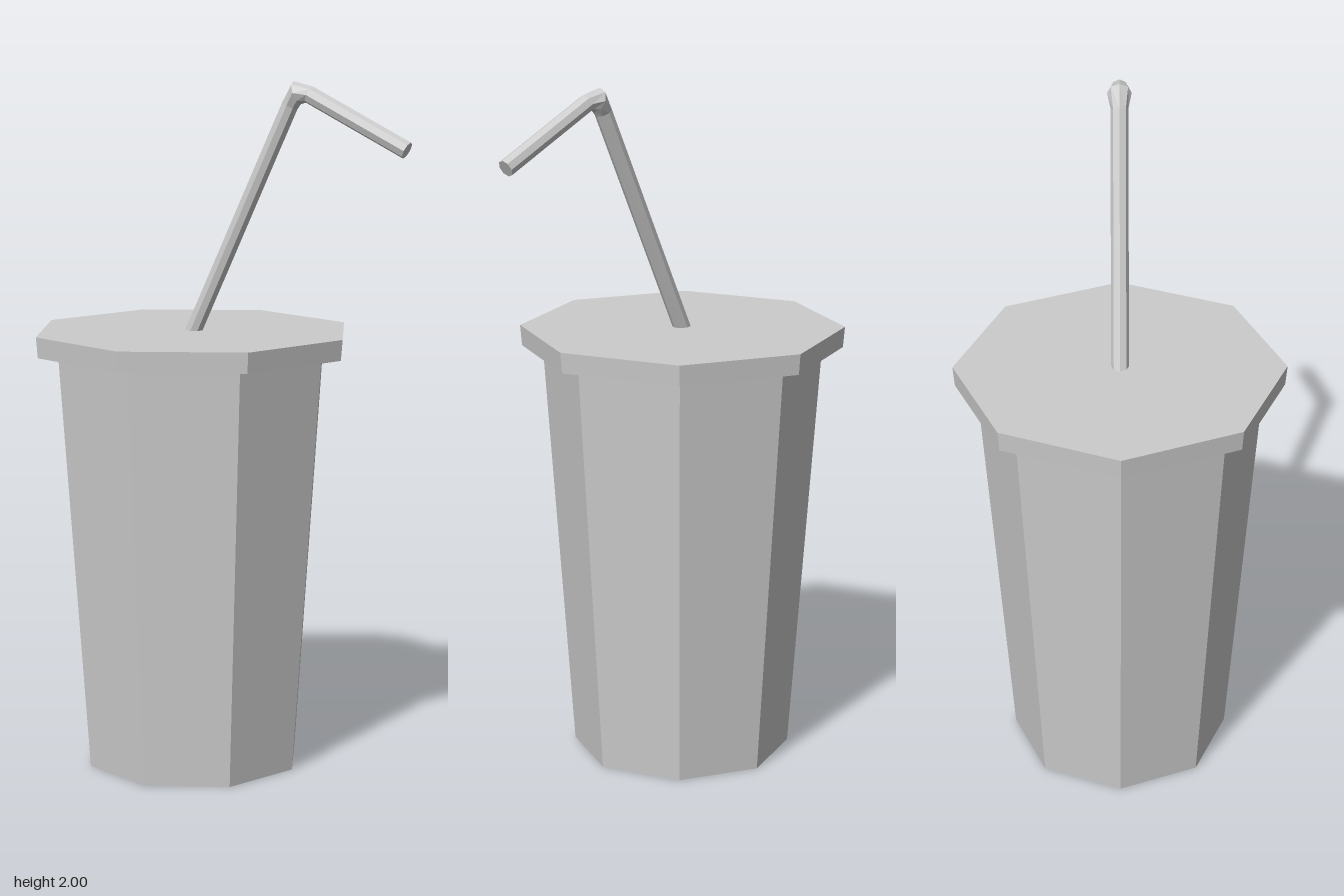
import * as THREE from 'three';

const material = new THREE.MeshStandardMaterial({ color: 0xcccccc, flatShading: true });
const SIDES = 8;

// Closed tapered octagonal body between two heights
function octagon(name, topRadius, bottomRadius, y0, y1) {
  const geometry = new THREE.CylinderGeometry(topRadius, bottomRadius, y1 - y0, SIDES);
  const mesh = new THREE.Mesh(geometry, material);
  mesh.name = name;
  mesh.position.set(-0.1, (y0 + y1) / 2, 0);
  return mesh;
}

// Sweep rings [x, y, tangentX, tangentY, radius] in the xy plane, with capped ends
function sweep(rings) {
  const positions = [], index = [];
  for (const [x, y, tx, ty, r] of rings) {
    const len = Math.hypot(tx, ty);
    for (let i = 0; i < SIDES; i++) {
      const a = (i / SIDES) * Math.PI * 2;
      const n = Math.cos(a) * r;
      positions.push(x - (ty / len) * n, y + (tx / len) * n, Math.sin(a) * r);
    }
  }
  for (let k = 0; k < rings.length - 1; k++) {
    for (let i = 0; i < SIDES; i++) {
      const a = k * SIDES + i, b = k * SIDES + ((i + 1) % SIDES);
      index.push(a, a + SIDES, b, b, a + SIDES, b + SIDES);
    }
  }
  const last = (rings.length - 1) * SIDES;
  for (let i = 1; i < SIDES - 1; i++) {
    index.push(0, i, i + 1, last, last + i + 1, last + i);
  }
  // Orient every face outward
  for (let t = 0; t < index.length; t += 3) [index[t + 1], index[t + 2]] = [index[t + 2], index[t + 1]];
  const geometry = new THREE.BufferGeometry();
  geometry.setAttribute('position', new THREE.Float32BufferAttribute(positions, 3));
  geometry.setIndex(index);
  // Reverse the winding if the enclosed volume is negative
  const p = (i) => new THREE.Vector3().fromArray(positions, i * 3);
  let volume = 0;
  for (let t = 0; t < index.length; t += 3) {
    volume += p(index[t]).dot(p(index[t + 1]).cross(p(index[t + 2])));
  }
  if (volume < 0) geometry.setIndex(index.slice().reverse());
  const flat = geometry.toNonIndexed();
  flat.computeVertexNormals();
  return flat;
}

export function createModel() {
  const group = new THREE.Group();
  group.name = 'drinkCup';

  group.add(octagon('cup', 0.405, 0.32, 0, 1.22));
  group.add(octagon('lid', 0.47, 0.465, 1.22, 1.28));

  // Bent straw, slightly swollen at the elbow
  const straw = new THREE.Mesh(sweep([
    [-0.111, 1.25, 0.42, 0.907, 0.025],
    [0.204, 1.932, 0.42, 0.907, 0.025],
    [0.226, 1.968, 1.31, 0.46, 0.034],
    [0.264, 1.963, 0.894, -0.447, 0.025],
    [0.557, 1.817, 0.894, -0.447, 0.025],
  ]), material);
  straw.name = 'straw';
  group.add(straw);

  return group;
}
